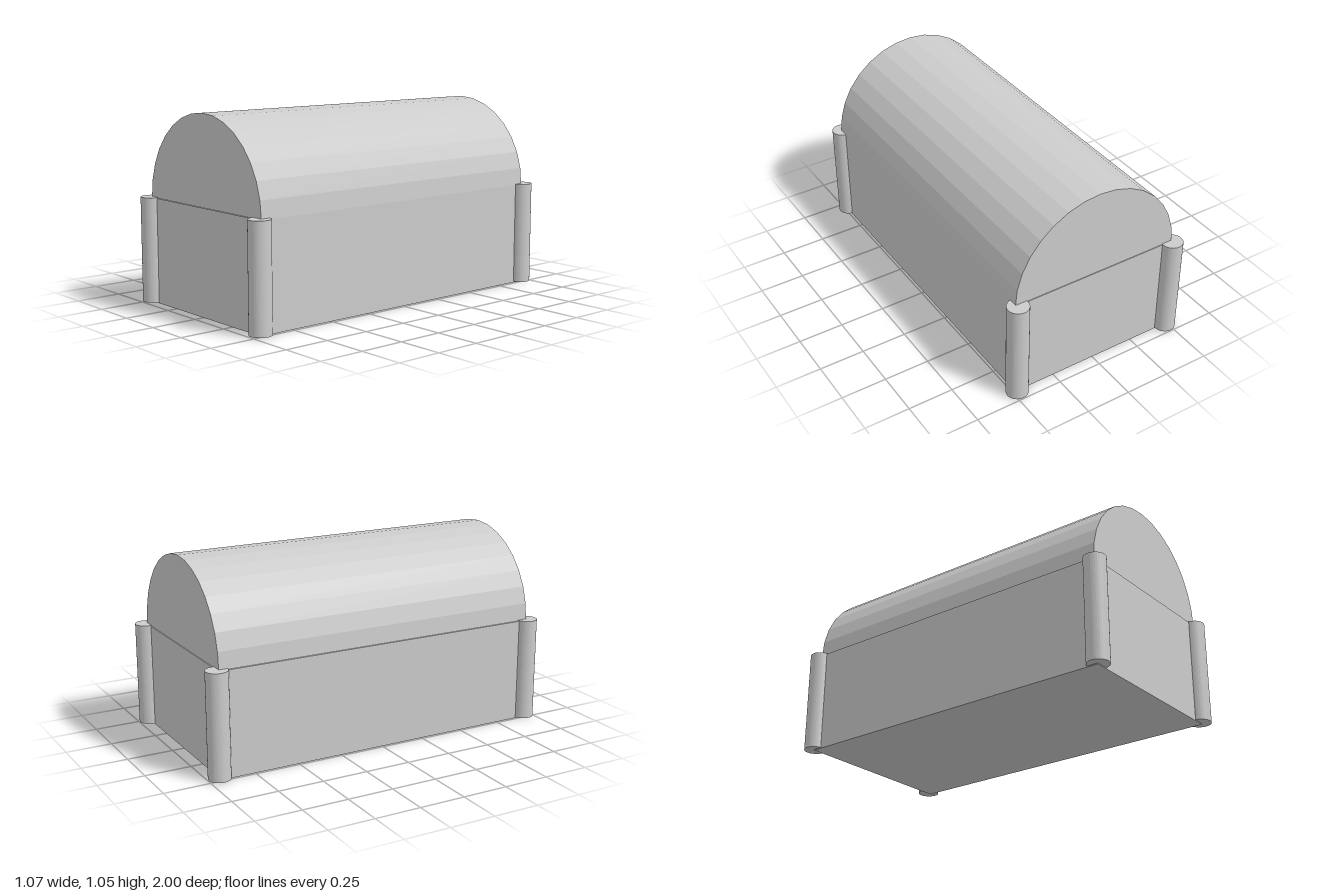
import * as THREE from 'three';

export function createModel() {
  const model = new THREE.Group();
  const material = new THREE.MeshStandardMaterial({ color: 0xcccccc, flatShading: true });
  const add = (name, geometry, x, y, z) => {
    const mesh = new THREE.Mesh(geometry, material);
    mesh.name = name;
    mesh.position.set(x, y, z);
    model.add(mesh);
  };

  // Chest body
  add('body', new THREE.BoxGeometry(0.975, 0.57, 1.881), -0.002, 0.285, 0.0055);

  // Half-round lid, 16 facets over the arch
  const radius = 0.483, lidLength = 1.868;
  const arch = new THREE.Shape();
  for (let i = 0; i <= 16; i++) {
    const a = (i / 16) * Math.PI;
    const x = Math.cos(a) * radius, y = Math.sin(a) * radius;
    if (i === 0) arch.moveTo(x, y);
    else arch.lineTo(x, y);
  }
  arch.closePath();
  const lid = new THREE.ExtrudeGeometry(arch, { depth: lidLength, bevelEnabled: false });
  add('lid', lid, 0.003, 0.568, -0.931);

  // Corner posts
  const post = new THREE.CylinderGeometry(0.059, 0.059, 0.569, 32);
  for (const sx of [-1, 1]) {
    for (const sz of [-1, 1]) {
      add('cornerPost', post, sx * 0.477, 0.2895, sz * 0.941);
    }
  }
  return model;
}
